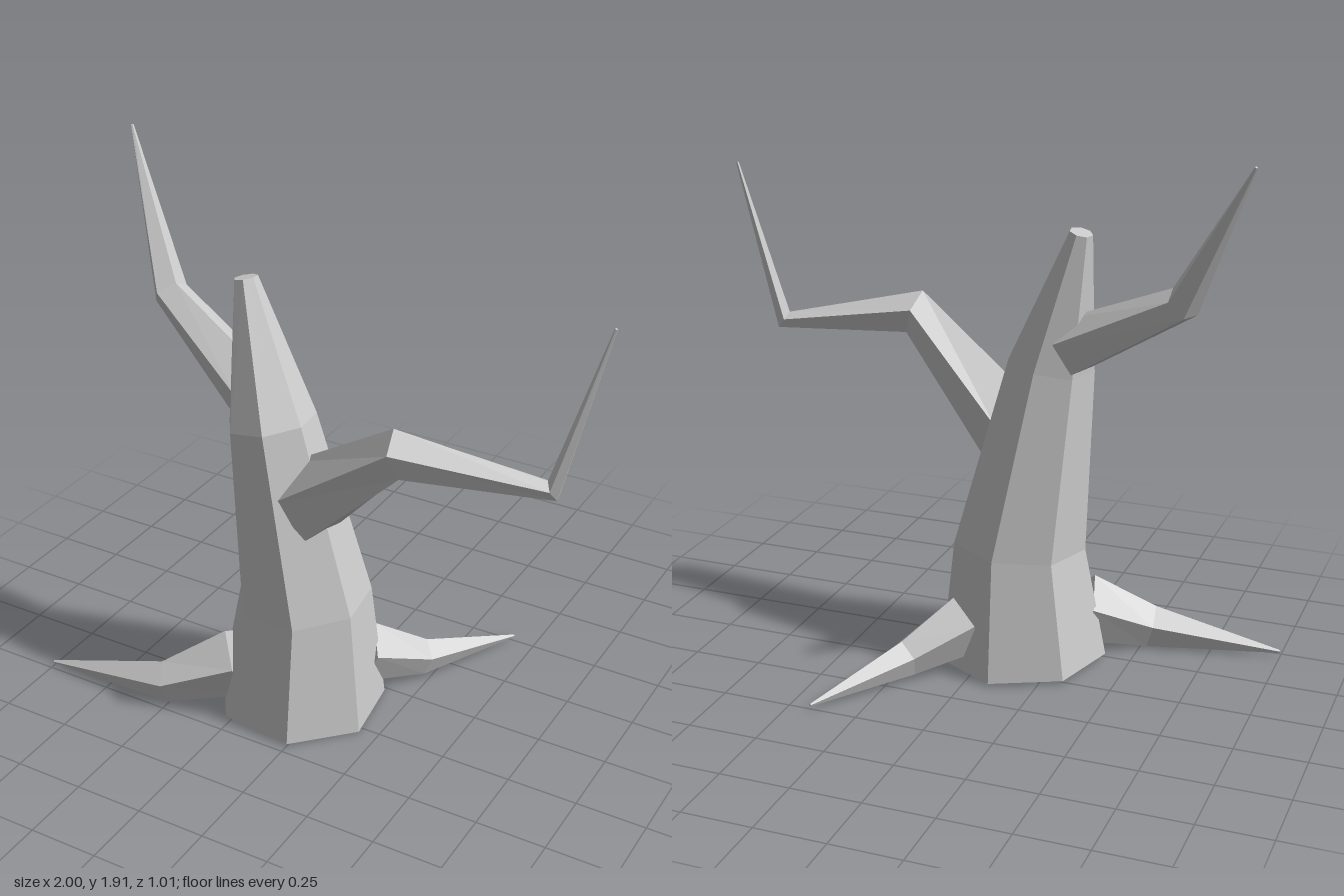
import * as THREE from 'three';

const bark = new THREE.MeshStandardMaterial({ color: 0xcccccc, flatShading: true });

// Sweeps a tapering polygon through nodes [x, y, z, radius]; one corner points towards ref.
function limb(name, nodes, sides, ref) {
  const points = nodes.map(([x, y, z]) => new THREE.Vector3(x, y, z));
  const dirs = points.slice(1).map((p, i) => p.clone().sub(points[i]).normalize());
  const positions = [], index = [];

  // Rings, mitred at each bend
  points.forEach((p, i) => {
    const t = dirs[Math.max(i - 1, 0)].clone().add(dirs[Math.min(i, dirs.length - 1)]).normalize();
    const u = ref.clone().addScaledVector(t, -ref.dot(t)).normalize();
    const w = u.clone().cross(t);
    for (let k = 0; k < sides; k++) {
      const a = Math.PI / 2 + (k / sides) * Math.PI * 2;
      const v = p.clone()
        .addScaledVector(w, nodes[i][3] * Math.cos(a))
        .addScaledVector(u, nodes[i][3] * Math.sin(a));
      positions.push(v.x, v.y, v.z);
    }
  });

  // Side faces
  const last = (nodes.length - 1) * sides;
  for (let i = 0; i < last; i += sides) {
    for (let k = 0; k < sides; k++) {
      const a = i + k, b = i + (k + 1) % sides;
      index.push(a, b, b + sides, a, b + sides, a + sides);
    }
  }
  // End caps
  for (let k = 1; k < sides - 1; k++) {
    index.push(0, k + 1, k, last, last + k, last + k + 1);
  }

  const geometry = new THREE.BufferGeometry();
  geometry.setAttribute('position', new THREE.Float32BufferAttribute(positions, 3));
  geometry.setIndex(index);
  const flat = geometry.toNonIndexed();
  flat.computeVertexNormals();
  const mesh = new THREE.Mesh(flat, bark);
  mesh.name = name;
  return mesh;
}

export function createModel() {
  const group = new THREE.Group();
  group.name = 'bareTree';
  const up = new THREE.Vector3(0, 1, 0);

  // Leaning seven-sided trunk, cut flat at the top
  group.add(limb('trunk', [
    [-0.11, 0.015, 0.185, 0.305],
    [-0.095, 0.445, 0.18, 0.24],
    [-0.2, 1.12, 0.2, 0.155],
    [-0.315, 1.597, 0.152, 0.041],
  ], 7, new THREE.Vector3(0.075, 0, -1)));

  // Long crooked branch on the left
  group.add(limb('leftBranch', [
    [-0.05, 0.86, 0.22, 0.145],
    [0.36, 1.21, 0.33, 0.085],
    [0.84, 1.16, 0.225, 0.036],
    [0.993, 1.735, 0.198, 0.005],
  ], 5, up));

  // Shorter branch on the right
  group.add(limb('rightBranch', [
    [-0.27, 1.18, 0.17, 0.108],
    [-0.7, 1.415, 0.04, 0.063],
    [-0.96, 1.915, -0.15, 0.005],
  ], 5, up));

  // Roots spreading over the ground
  group.add(limb('frontRoot', [
    [-0.3, 0.165, 0.3, 0.13],
    [-0.525, 0.073, 0.425, 0.08],
    [-0.997, 0.022, 0.483, 0.006],
  ], 5, up));
  group.add(limb('backRoot', [
    [0.06, 0.16, 0.02, 0.115],
    [0.21, 0.078, -0.155, 0.068],
    [0.417, 0.022, -0.505, 0.005],
  ], 5, up));

  return group;
}
